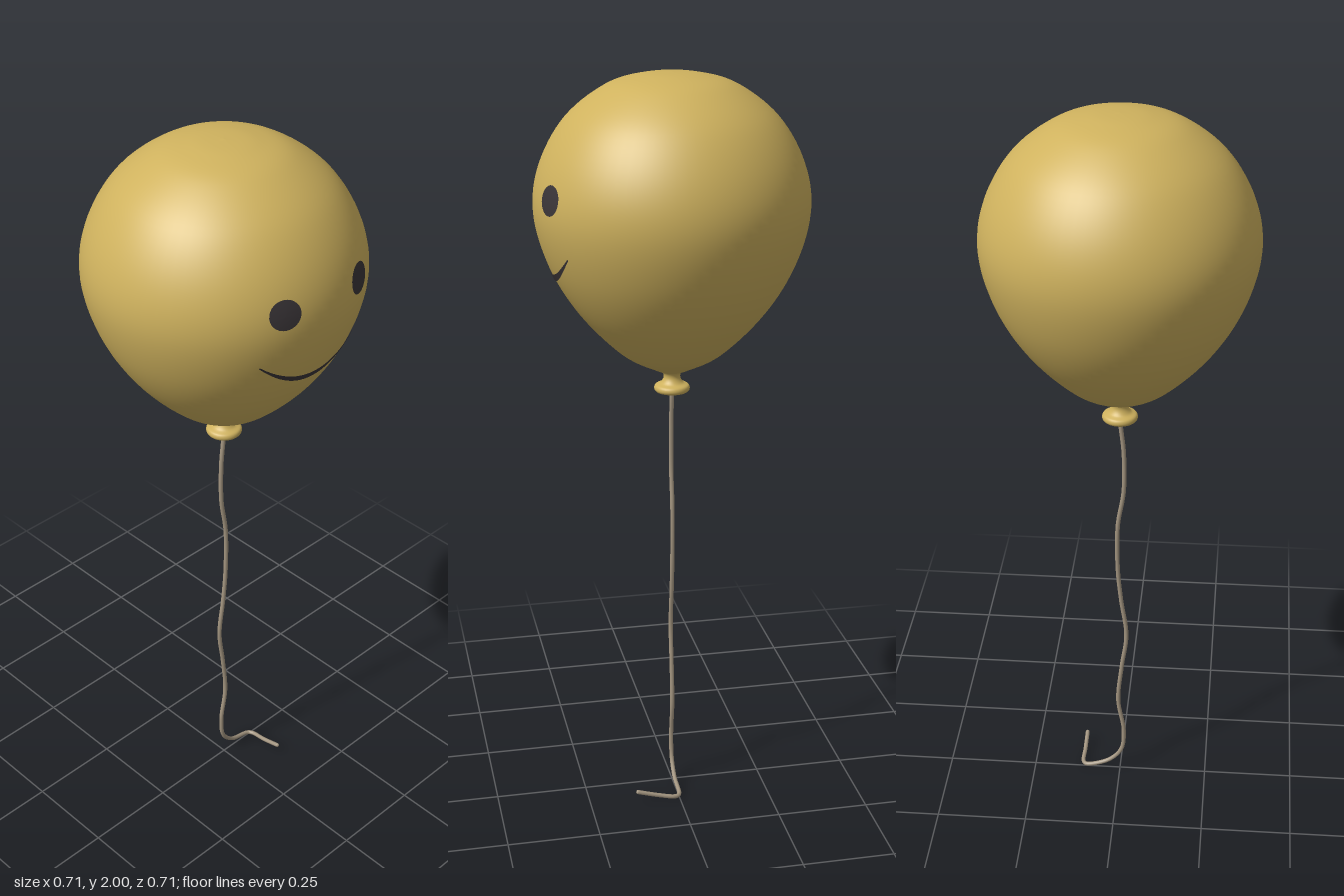
import * as THREE from 'three';

const V2 = (x, y) => new THREE.Vector2(x, y);

// Half outline of the inflated body, bottom to top
const bodyProfile = new THREE.SplineCurve([
  V2(0.022, 1.222), V2(0.055, 1.236), V2(0.14, 1.285), V2(0.245, 1.395), V2(0.318, 1.52),
  V2(0.353, 1.655), V2(0.335, 1.775), V2(0.27, 1.888), V2(0.17, 1.966), V2(0.08, 1.994), V2(0, 2.0),
]).getPoints(70);
bodyProfile.forEach((p) => { p.x = Math.max(p.x, 0); });

// Body radius at a height
function radiusAt(y) {
  for (let i = 1; i < bodyProfile.length; i++) {
    const a = bodyProfile[i - 1], b = bodyProfile[i];
    if (y <= b.y) return THREE.MathUtils.mapLinear(y, a.y, b.y, a.x, b.x);
  }
  return 0;
}

// Wrap a flat shape onto the front of the body; place(x, y) gives its position there
function wrapOnFront(geometry, place) {
  const pos = geometry.attributes.position;
  for (let i = 0; i < pos.count; i++) {
    const [x, y] = place(pos.getX(i), pos.getY(i));
    const r = radiusAt(y) + 0.003;
    pos.setXYZ(i, x, y, Math.sqrt(Math.max(r * r - x * x, 0)));
  }
  geometry.computeVertexNormals();
  return geometry;
}

export function createModel() {
  const group = new THREE.Group();
  const balloonMat = new THREE.MeshStandardMaterial({ color: 0xcfb25e });
  balloonMat.name = 'balloon yellow';
  const faceMat = new THREE.MeshStandardMaterial({ color: 0x3a3538 });
  faceMat.name = 'face dark grey';
  const stringMat = new THREE.MeshStandardMaterial({ color: 0xa39580 });
  stringMat.name = 'string beige';

  const add = (name, geometry, material) => {
    const mesh = new THREE.Mesh(geometry, material);
    mesh.name = name;
    group.add(mesh);
  };

  // Inflated body
  add('balloonBody', new THREE.LatheGeometry(bodyProfile, 72), balloonMat);

  // Neck flaring to a rolled, hollow lip
  const neck = new THREE.SplineCurve([
    V2(0.006, 1.198), V2(0.026, 1.186), V2(0.034, 1.173), V2(0.042, 1.17), V2(0.047, 1.177),
    V2(0.044, 1.187), V2(0.03, 1.194), V2(0.022, 1.208), V2(0.025, 1.222), V2(0.04, 1.234),
  ]).getPoints(36);
  add('neckLip', new THREE.LatheGeometry(neck, 32), balloonMat);

  // Eyes
  for (const [name, side] of [['leftEye', 1], ['rightEye', -1]]) {
    const disc = new THREE.RingGeometry(0.0005, 0.038, 28, 4);
    add(name, wrapOnFront(disc, (x, y) => [side * 0.124 + x, 1.715 + y]), faceMat);
  }

  // Smile, tapering to its corners
  const smile = new THREE.PlaneGeometry(2, 1, 40, 2);
  add('smile', wrapOnFront(smile, (u, v) => [
    u * 0.172,
    1.497 + 0.08 * u * u + v * (0.004 + 0.014 * (1 - u * u)),
  ]), faceMat);

  // Wavy string with its end curling forward on the ground
  const path = new THREE.CatmullRomCurve3([
    [0, 1.2, 0], [-0.002, 1.15, 0], [-0.01, 1.07, 0], [-0.01, 0.95, 0], [0.006, 0.84, 0],
    [0.006, 0.7, 0], [-0.003, 0.6, 0], [-0.018, 0.48, 0], [-0.005, 0.37, 0], [0.005, 0.25, 0],
    [-0.011, 0.14, 0], [-0.003, 0.07, 0], [0.035, 0.028, 0], [0.1, 0.009, 0],
    [0.109, 0.009, 0.012], [0.108, 0.018, 0.06], [0.107, 0.034, 0.118],
  ].map((p) => new THREE.Vector3(...p)), false, 'centripetal');
  add('string', new THREE.TubeGeometry(path, 180, 0.006, 8), stringMat);

  // Closed string end
  const tip = new THREE.SphereGeometry(0.006, 8, 6);
  tip.translate(0.107, 0.034, 0.118);
  add('stringTip', tip, stringMat);

  return group;
}
